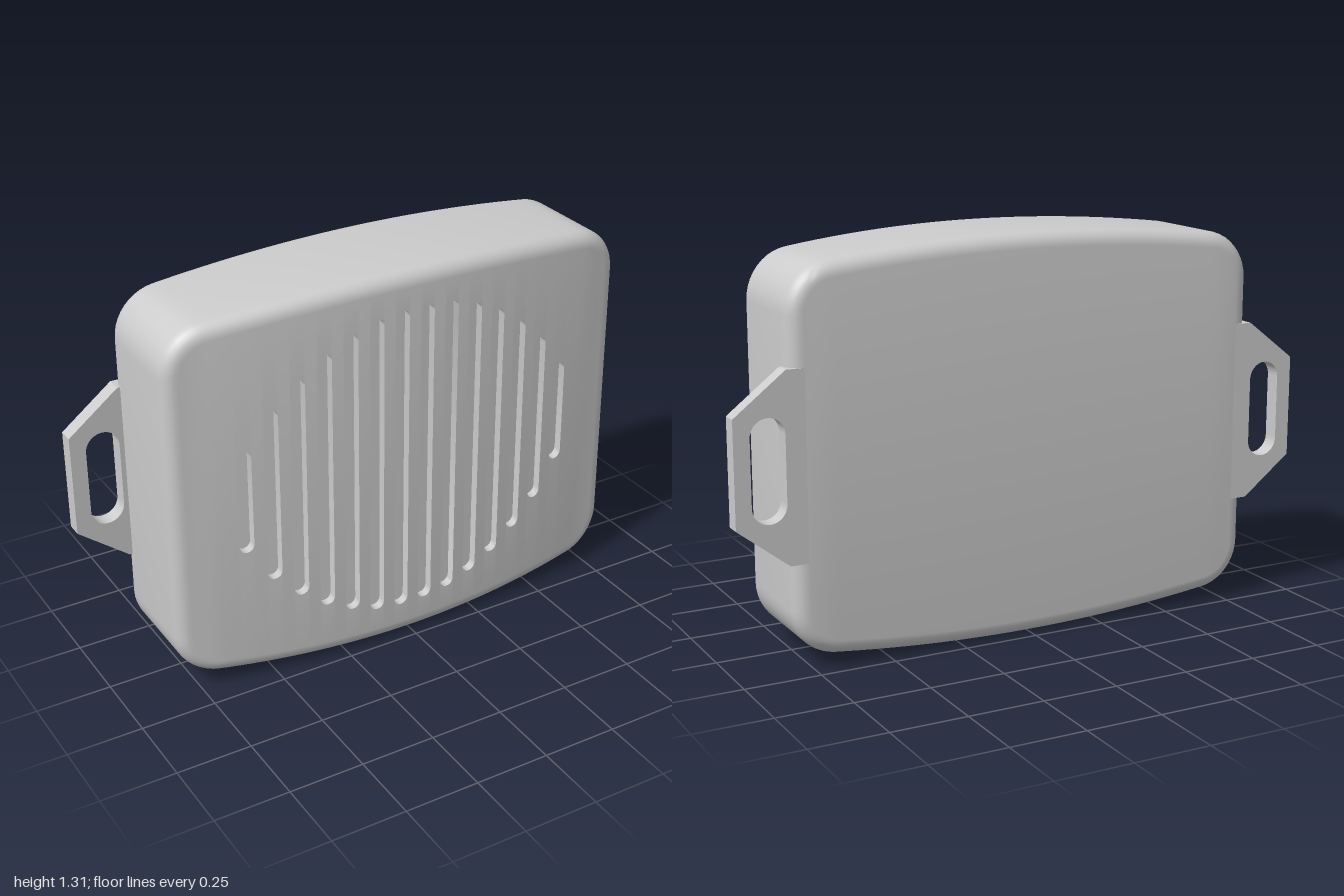
import * as THREE from 'three';
import { toCreasedNormals } from 'three/addons/utils/BufferGeometryUtils.js';

const MID = 0.655;                 // height of the centre line
const BACK = -0.225;
const FILLET = 0.05;               // edge rounding
const SLOT_R = 0.025, SLOT_DEPTH = 0.03, PITCH = 0.09;
const SLOT_HALF = [0.535, 0.525, 0.495, 0.45, 0.385, 0.3, 0.18]; // centre outwards

const frontZ = x => 0.225 - 0.065 * (x / 0.77) ** 2;   // bowed front
const bow = x => 0.605 - 0.04 * (x / 0.67) ** 2;       // bowed top and bottom
const bowSlope = x => 0.08 * x / 0.67 ** 2;

const slots = SLOT_HALF.flatMap((half, i) =>
  [-1, 1].map(s => ({ x: s * (i + 0.5) * PITCH, half }))).sort((a, b) => a.x - b.x);

// Upper edge of the face inside the rounding, left to right, with outward normals
function upperEdge() {
  const radius = 0.11, cornerX = 0.66, joinX = 0.673;
  const theta = Math.atan(bowSlope(joinX));
  const cornerY = bow(joinX) - radius * Math.cos(theta);
  const corner = [];
  for (let k = 0; k <= 10; k++) {
    const a = theta + (Math.PI / 2 - theta) * k / 10;
    const nx = Math.sin(a), ny = Math.cos(a);
    corner.push({ x: cornerX + radius * nx, y: cornerY + radius * ny, nx, ny });
  }
  const xs = [-0.64, 0.64];
  for (const s of slots)
    for (let k = 0; k <= 8; k++) xs.push(s.x - SLOT_R * Math.cos(Math.PI * k / 8));
  xs.sort((a, b) => a - b);
  const middle = xs.map(x => {
    const t = Math.atan(bowSlope(x));
    return { x, y: bow(x), nx: Math.sin(t), ny: Math.cos(t) };
  });
  const left = corner.map(p => ({ ...p, x: -p.x, nx: -p.nx })).reverse();
  return [...left, ...middle, ...corner];
}

function bodyGeometry() {
  const pos = [];
  const quad = (a, b, c, d) => pos.push(...a, ...b, ...c, ...a, ...c, ...d);
  const edge = upperEdge();

  // Rounded rim: offset loops from the front face round to the back face
  const loop = [...edge, ...edge.map(p => ({ ...p, y: -p.y, ny: -p.ny })).reverse()];
  const ring = (a, front) => loop.map(p => {
    const off = FILLET * Math.cos(a), dz = FILLET * (1 - Math.sin(a));
    return [p.x + p.nx * off, p.y + p.ny * off, front ? frontZ(p.x) - dz : BACK + dz];
  });
  const rings = [];
  for (let k = 6; k >= 0; k--) rings.push(ring(Math.PI / 2 * k / 6, true));
  for (let k = 0; k <= 6; k++) rings.push(ring(Math.PI / 2 * k / 6, false));
  for (let j = 0; j + 1 < rings.length; j++)
    for (let i = 0; i < loop.length; i++) {
      const n = (i + 1) % loop.length;
      quad(rings[j][i], rings[j][n], rings[j + 1][n], rings[j + 1][i]);
    }

  // Front and back faces in vertical strips, sinking the slots
  const F = (x, y) => [x, y, frontZ(x)];
  const D = (x, y) => [x, y, frontZ(x) - SLOT_DEPTH];
  for (let i = 0; i + 1 < edge.length; i++) {
    const { x: x0, y: y0 } = edge[i], { x: x1, y: y1 } = edge[i + 1];
    quad([x1, -y1, BACK], [x0, -y0, BACK], [x0, y0, BACK], [x1, y1, BACK]);
    const slot = slots.find(s => Math.abs((x0 + x1) / 2 - s.x) < SLOT_R);
    if (!slot) {
      quad(F(x0, -y0), F(x1, -y1), F(x1, y1), F(x0, y0));
      continue;
    }
    const reach = x => slot.half - SLOT_R + Math.sqrt(Math.max(0, SLOT_R ** 2 - (x - slot.x) ** 2));
    const h0 = reach(x0), h1 = reach(x1);
    quad(F(x0, -y0), F(x1, -y1), F(x1, -h1), F(x0, -h0));
    quad(F(x0, h0), F(x1, h1), F(x1, y1), F(x0, y0));
    quad(D(x0, -h0), D(x1, -h1), D(x1, h1), D(x0, h0));
    quad(F(x1, h1), F(x0, h0), D(x0, h0), D(x1, h1));
    quad(F(x0, -h0), F(x1, -h1), D(x1, -h1), D(x0, -h0));
  }
  // Long side walls of the slots
  for (const s of slots) {
    const l = s.x - SLOT_R, r = s.x + SLOT_R, h = s.half - SLOT_R;
    quad(F(l, -h), D(l, -h), D(l, h), F(l, h));
    quad(D(r, -h), F(r, -h), F(r, h), D(r, h));
  }

  const geo = new THREE.BufferGeometry();
  geo.setAttribute('position', new THREE.Float32BufferAttribute(pos, 3));
  return toCreasedNormals(geo, 0.6);
}

// Mounting ear with an oblong strap hole
function earGeometry(side) {
  const pts = [[0.77, -0.302], [0.83, -0.302], [1, -0.17], [1, 0.17], [0.83, 0.302], [0.77, 0.302]];
  const shape = new THREE.Shape(pts.map(([x, y]) => new THREE.Vector2(side * x, y)));
  const r = 0.056, cx = side * 0.892, h = 0.163 - r;
  const hole = new THREE.Path();
  hole.absarc(cx, h, r, 0, Math.PI, false);
  hole.absarc(cx, -h, r, Math.PI, 2 * Math.PI, false);
  hole.closePath();
  shape.holes.push(hole);
  const geo = new THREE.ExtrudeGeometry(shape, { depth: 0.053, bevelEnabled: false, curveSegments: 16 });
  return toCreasedNormals(geo.translate(0, 0, BACK), 0.5);
}

export function createModel() {
  const group = new THREE.Group();
  const material = new THREE.MeshStandardMaterial({ color: 0xcccccc });
  const add = (name, geo) => {
    const mesh = new THREE.Mesh(geo, material);
    mesh.name = name;
    mesh.position.y = MID;
    group.add(mesh);
  };
  add('slottedBody', bodyGeometry());
  add('leftMountingEar', earGeometry(1));
  add('rightMountingEar', earGeometry(-1));
  return group;
}
